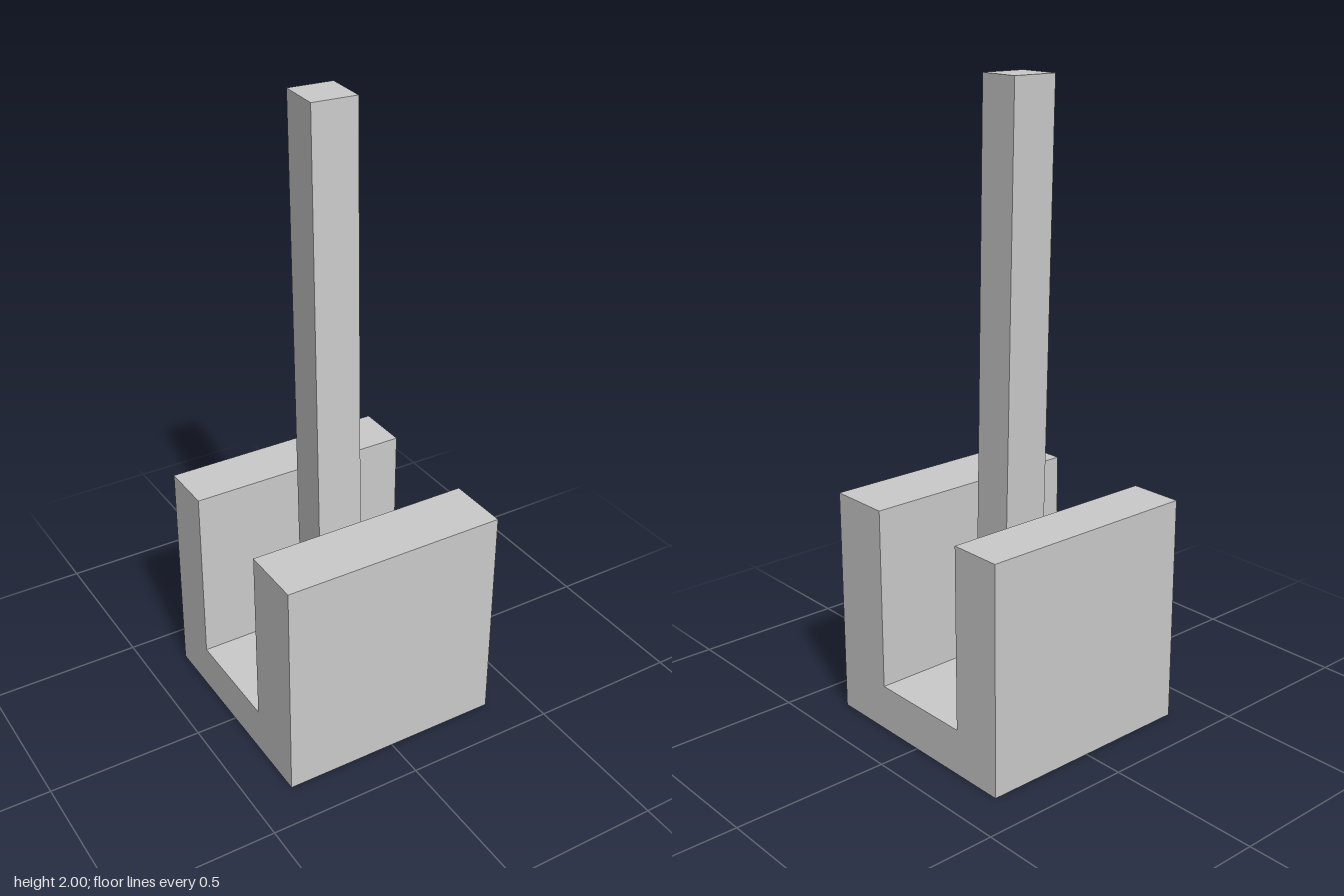
import * as THREE from 'three';

export function createModel() {
  const model = new THREE.Group();
  const material = new THREE.MeshStandardMaterial({ color: 0xcccccc, flatShading: true });

  const half = 0.365, height = 0.73, floorY = 0.147;
  const slotBack = -0.193, slotFront = 0.161;

  // U-shaped block: profile in (z, y), extruded along x
  const profile = new THREE.Shape([
    [-half, 0], [half, 0], [half, height], [slotFront, height],
    [slotFront, floorY], [slotBack, floorY], [slotBack, height], [-half, height],
  ].map(([z, y]) => new THREE.Vector2(-z, y)));
  const blockGeometry = new THREE.ExtrudeGeometry(profile, { depth: 2 * half, bevelEnabled: false });
  blockGeometry.translate(0, 0, -half).rotateY(Math.PI / 2);
  const block = new THREE.Mesh(blockGeometry, material);
  block.name = 'slottedBlock';
  model.add(block);

  // Square post standing in the slot, slightly twisted and leaning backwards
  const postHeight = 2 - floorY;
  const postGeometry = new THREE.BoxGeometry(0.144, postHeight, 0.144);
  postGeometry.rotateY(-0.06).translate(0, postHeight / 2, 0);
  postGeometry.applyMatrix4(new THREE.Matrix4().makeShear(-0.006 / postHeight, 0, 0, 0, 0, 0));
  const position = postGeometry.attributes.position;
  for (let i = 0; i < position.count; i++) {
    const t = position.getY(i) / postHeight;
    position.setZ(i, position.getZ(i) - 0.046 * t);
  }
  postGeometry.computeVertexNormals();
  const post = new THREE.Mesh(postGeometry, material);
  post.name = 'leaningPost';
  post.position.set(0, floorY, -0.005);
  model.add(post);

  return model;
}
